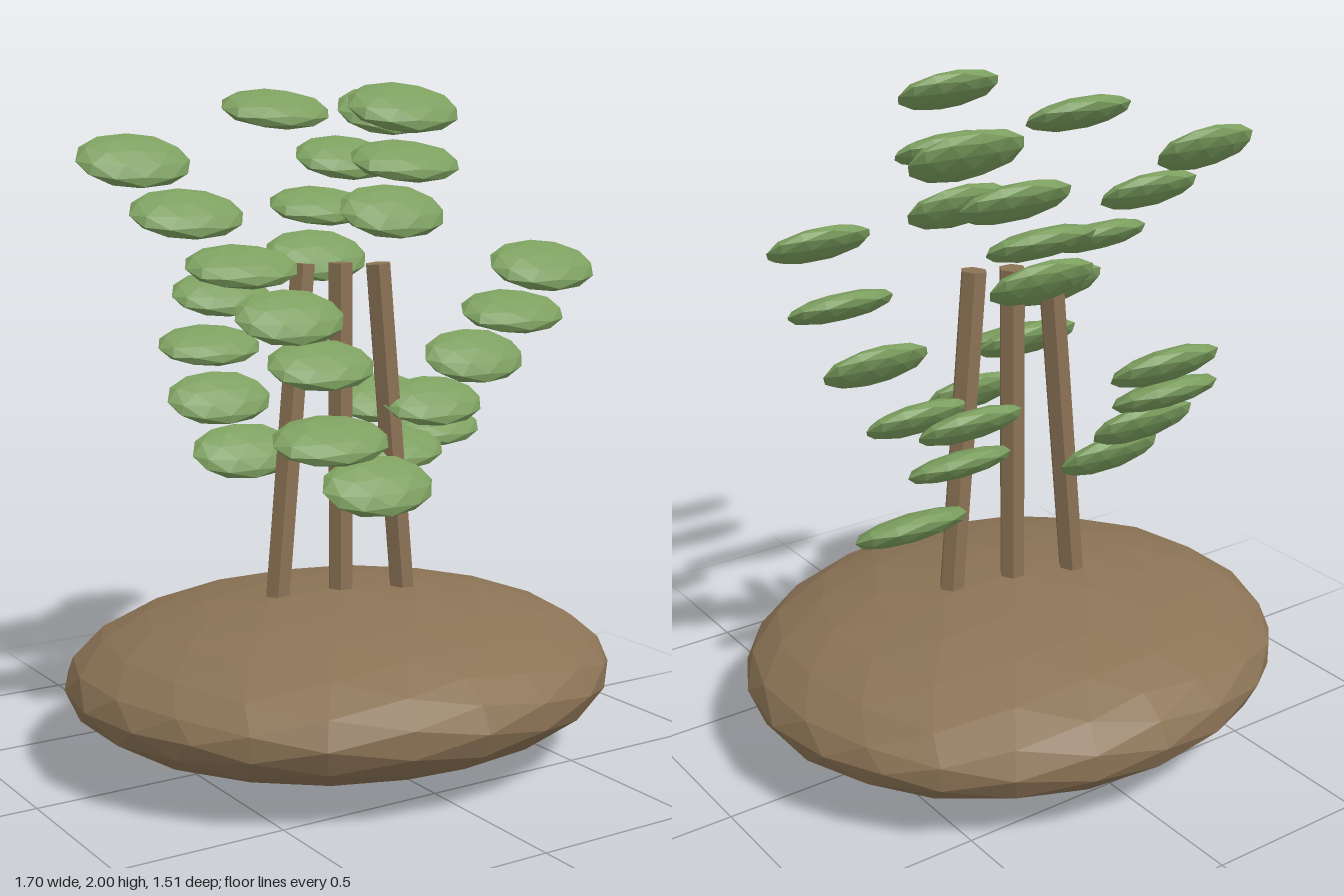
import * as THREE from 'three';

const barkBrown = new THREE.MeshStandardMaterial({ color: 0x8b7355 });
barkBrown.name = 'barkBrown';
const leafGreen = new THREE.MeshStandardMaterial({ color: 0x7c9f5f });
leafGreen.name = 'leafGreen';

// Faceted ball: every triangle keeps its own flat normal after stretching
function facetedEllipsoid(detail, rx, ry, rz) {
  const geometry = new THREE.IcosahedronGeometry(1, detail);
  geometry.scale(rx, ry, rz);
  geometry.computeVertexNormals();
  return geometry;
}

// Leaf centres in layers from the top down: x, z, tilt
const FLAT = 0.5, MID = 0.66, STEEP = 0.8;
const layers = [
  [1.925, [[-0.05, 0.395, MID], [-0.165, -0.09, FLAT], [0.38, -0.335, STEEP]]],
  [1.78, [[0.03, 0.29, FLAT], [-0.595, -0.145, STEEP], [0.225, -0.33, MID]]],
  [1.635, [[0.065, 0.175, STEEP], [-0.505, 0, MID], [0.1, -0.275, FLAT]]],
  [1.49, [[0.35, 0.505, MID], [-0.385, 0.095, FLAT], [0.03, -0.185, STEEP]]],
  [1.345, [[0.38, 0.335, FLAT], [-0.26, 0.145, STEEP], [-0.07, -0.605, MID]]],
  [1.2, [[0.355, 0.185, STEEP], [-0.145, 0.125, MID], [-0.185, -0.475, FLAT]]],
  [1.055, [[-0.35, 0.505, FLAT], [0.285, 0.07, MID], [0.19, -0.06, MID], [-0.23, -0.33, STEEP]]],
  [0.91, [[-0.18, 0.475, STEEP], [0.19, 0, FLAT], [-0.22, -0.19, STEEP], [0.54, -0.285, FLAT]]],
];

export function createModel() {
  const group = new THREE.Group();
  group.name = 'stylisedTree';

  // Low mound of earth
  const mound = new THREE.Mesh(facetedEllipsoid(3, 0.85, 0.248, 0.755), barkBrown);
  mound.name = 'mound';
  mound.position.y = 0.252;
  group.add(mound);

  // Three hexagonal stems, the outer two leaning inward
  const stemGeometry = new THREE.CylinderGeometry(0.04, 0.04, 1.06, 6)
    .rotateY(Math.PI / 6).toNonIndexed();
  stemGeometry.computeVertexNormals();
  for (const side of [-1, 0, 1]) {
    const stem = new THREE.Mesh(stemGeometry, barkBrown);
    stem.name = 'stem';
    stem.position.set(side * 0.148, 0.95, side * 0.05);
    stem.rotation.z = side * 0.092;
    group.add(stem);
  }

  // Flattened leaves, each tipped up toward the back
  const leafGeometry = facetedEllipsoid(1, 0.178, 0.04, 0.1);
  const foliage = new THREE.Group();
  foliage.name = 'foliage';
  for (const [y, leaves] of layers) {
    for (const [x, z, tilt] of leaves) {
      const leaf = new THREE.Mesh(leafGeometry, leafGreen);
      leaf.name = 'leaf';
      leaf.position.set(x, y, z);
      leaf.rotation.x = tilt;
      foliage.add(leaf);
    }
  }
  group.add(foliage);

  return group;
}
